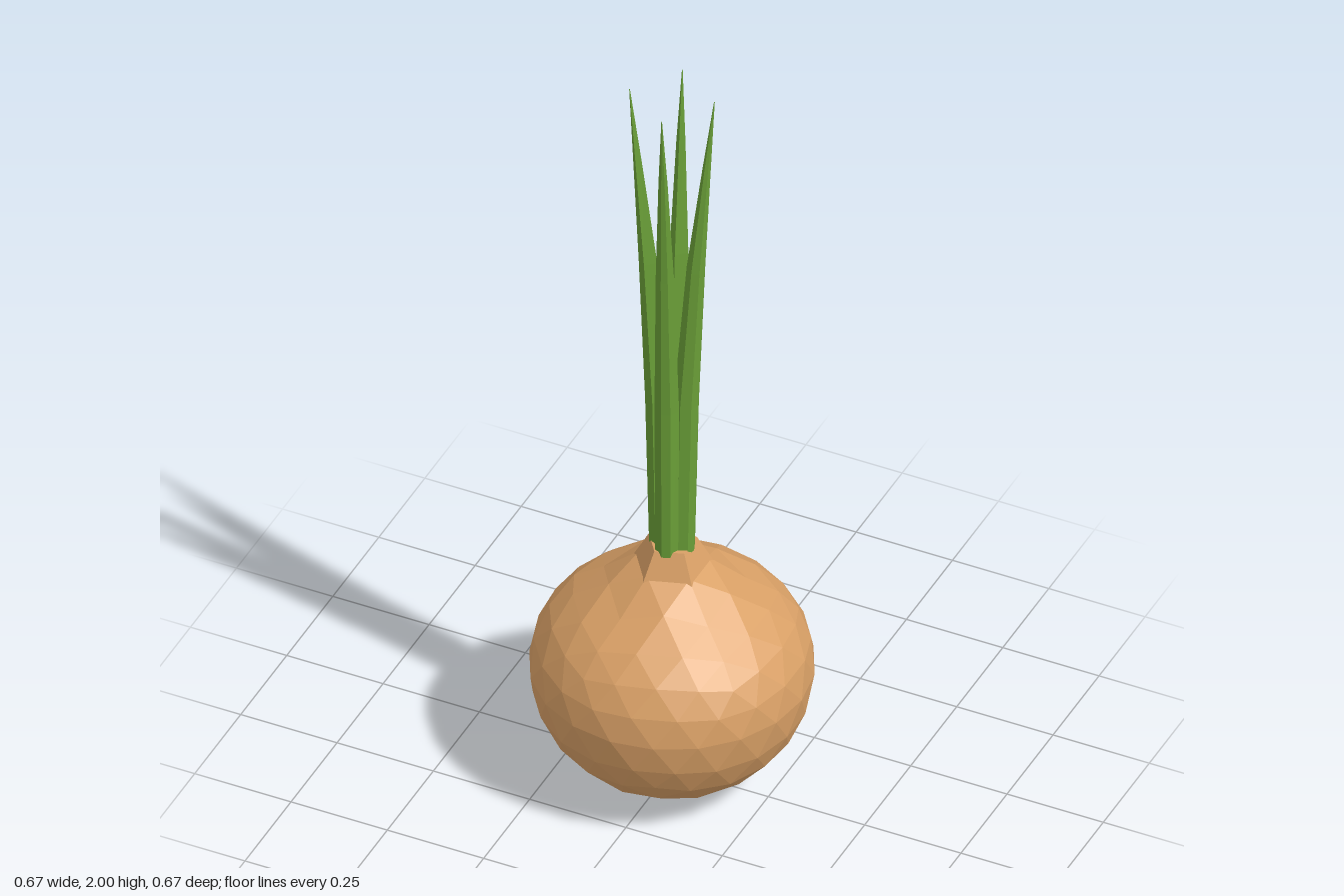
import * as THREE from 'three';

const paint = (color) => new THREE.MeshStandardMaterial({ color, flatShading: true });

// Faceted ball with a corner at each pole: round below, flatter above, rising to the neck
function bulbGeometry() {
  const geo = new THREE.IcosahedronGeometry(1, 3);
  geo.rotateZ(Math.atan(2 / (1 + Math.sqrt(5))));
  const p = geo.attributes.position;
  for (let i = 0; i < p.count; i++) {
    const ny = p.getY(i);
    const rise = 0.045 * THREE.MathUtils.smoothstep(ny, 0.85, 0.96);
    const y = ny > 0 ? 0.32 + ny * 0.265 + rise : 0.32 + ny * 0.315;
    p.setXYZ(i, p.getX(i) * 0.337, y, p.getZ(i) * 0.337);
  }
  geo.computeVertexNormals();
  return geo;
}

// Wedge-shaped leaf growing outward along +x, with a ridge on its inner side and a pointed tip
function leafGeometry() {
  // height, inner x, outer x, half width, sideways shift
  const sections = [
    [0.67, 0.0, 0.057, 0.03, 0],
    [1.1, 0.003, 0.066, 0.032, -0.003],
    [1.5, 0.034, 0.08, 0.024, -0.009],
    [1.8, 0.072, 0.092, 0.012, -0.016],
    [2.0, 0.099, 0.101, 0.001, -0.021],
  ];
  const pos = [], index = [], n = 6;
  for (const [y, a, b, w, s] of sections) {
    const at = (t) => a + (b - a) * t;
    const ring = [[at(0), 0], [at(0.5), w], [at(0.88), w * 0.65],
      [at(1), 0], [at(0.88), -w * 0.65], [at(0.5), -w]];
    for (const [x, z] of ring) pos.push(x, y, z + s);
  }
  for (let r = 0; r < sections.length - 1; r++) {
    for (let i = 0; i < n; i++) {
      const a = r * n + i, b = r * n + (i + 1) % n;
      index.push(a, b, b + n, a, b + n, a + n);
    }
  }
  // End caps
  const top = (sections.length - 1) * n;
  for (let i = 1; i < n - 1; i++) {
    index.push(0, i + 1, i, top, top + i, top + i + 1);
  }
  const geo = new THREE.BufferGeometry();
  geo.setAttribute('position', new THREE.Float32BufferAttribute(pos, 3));
  geo.setIndex(index);
  geo.computeVertexNormals();
  return geo;
}

export function createModel() {
  const model = new THREE.Group();
  model.name = 'onion';
  const skin = paint(0xd9a066);
  const green = paint(0x6a9f38);

  const bulb = new THREE.Mesh(bulbGeometry(), skin);
  bulb.name = 'bulb';
  model.add(bulb);

  // Five-sided neck where the bulb narrows to the leaves
  const neck = new THREE.Mesh(
    new THREE.CylinderGeometry(0.06, 0.1, 0.075, 5, 1, false, -Math.PI / 2), skin);
  neck.name = 'neck';
  neck.position.y = 0.645;
  model.add(neck);

  // Four leaves around the centre
  const leaves = new THREE.Group();
  leaves.name = 'leaves';
  const leafGeo = leafGeometry();
  for (let i = 0; i < 4; i++) {
    const leaf = new THREE.Mesh(leafGeo, green);
    leaf.name = 'leaf' + (i + 1);
    leaf.rotation.y = i * Math.PI / 2;
    leaves.add(leaf);
  }
  model.add(leaves);
  return model;
}
